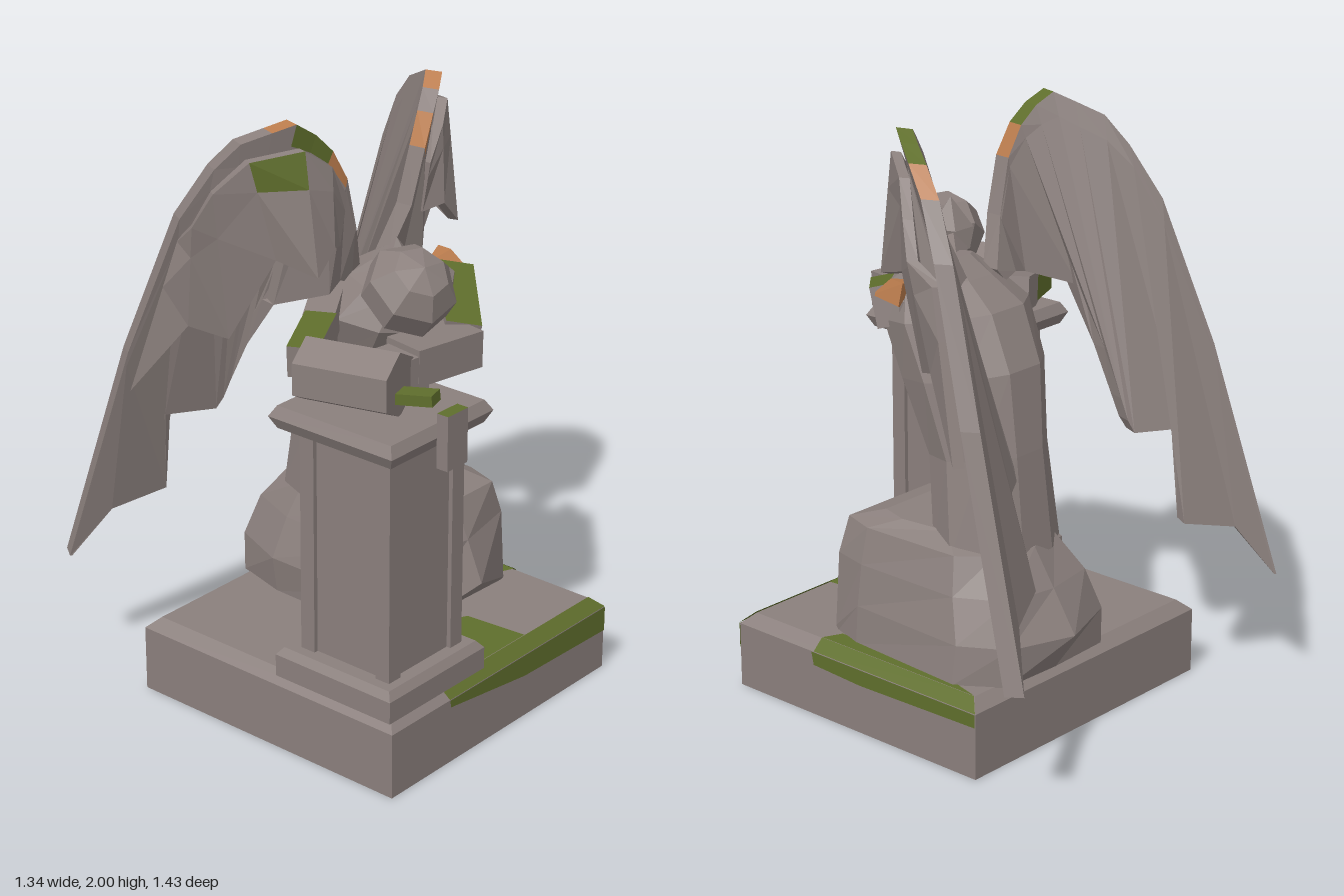
import * as THREE from 'three';
import { ConvexGeometry } from 'three/addons/geometries/ConvexGeometry.js';

const mat = (name, color) => {
  const m = new THREE.MeshStandardMaterial({ color, flatShading: true, side: THREE.DoubleSide });
  m.name = name;
  return m;
};
const stone = mat('stone', 0x8a7f7c);
const moss = mat('moss', 0x5f6e2c);
const rust = mat('rust', 0xb97b4c);

const mesh = (name, geo, material = stone) => {
  const m = new THREE.Mesh(geo, material);
  m.name = name;
  return m;
};
const geometryFrom = (tris) => {
  const g = new THREE.BufferGeometry();
  g.setAttribute('position', new THREE.Float32BufferAttribute(tris.flat(), 3));
  g.computeVertexNormals();
  return g;
};

// Flat fan of corners, listed counter-clockwise
const patch = (name, pts, material) => {
  const t = [];
  for (let i = 1; i < pts.length - 1; i++) t.push(pts[0], pts[i], pts[i + 1]);
  return mesh(name, geometryFrom(t), material);
};

// Capped skin over rings of equal length, listed from the bottom up
const loft = (rings) => {
  const t = [], n = rings[0].length, top = rings.length - 1;
  for (let i = 0; i < top; i++)
    for (let j = 0; j < n; j++) {
      const k = (j + 1) % n;
      const [a, b, c, d] = [rings[i][j], rings[i][k], rings[i + 1][k], rings[i + 1][j]];
      t.push(a, b, c, a, c, d);
    }
  for (let j = 1; j < n - 1; j++) {
    t.push(rings[top][0], rings[top][j], rings[top][j + 1]);
    t.push(rings[0][0], rings[0][j + 1], rings[0][j]);
  }
  return geometryFrom(t);
};
// Ring of [x, z] points at height y; a third number gives a point its own height
const level = (y, pts) => pts.map(([x, z, own = y]) => [x, own, z]);
const rect = (x0, x1, z0, z1, d, y) => level(y, [[x0 + d, z1 - d], [x1 - d, z1 - d], [x1 - d, z0 + d], [x0 + d, z0 + d]]);
// Oval ring whose front rises or drops by tilt
const oval = (x0, x1, z0, z1, y, tilt = 0, n = 10) => Array.from({ length: n }, (_, i) => {
  const a = (i + 0.5) / n * Math.PI * 2;
  return [(x0 + x1) / 2 + Math.sin(a) * (x1 - x0) / 2, y + Math.cos(a) * tilt, (z0 + z1) / 2 + Math.cos(a) * (z1 - z0) / 2];
});

// Beam from a to b with a many-sided section, rolled so its top faces along up
const limb = (name, a, b, w, h, sides, material = stone, up = [0, 1, 0]) => {
  const A = new THREE.Vector3(...a), B = new THREE.Vector3(...b);
  const g = sides === 4
    ? new THREE.BoxGeometry(w, h, A.distanceTo(B))
    : new THREE.CylinderGeometry(0.5, 0.5, A.distanceTo(B), sides).rotateX(Math.PI / 2).scale(w, h, 1);
  const m = mesh(name, g, material);
  m.position.copy(A).add(B).multiplyScalar(0.5);
  m.up.set(...up);
  m.lookAt(B);
  return m;
};

// Part of a sheet between two fractions of the way from outer to inner line
const band = (rows, f0, f1) => rows.map(([o, i]) => [f0, f1].map((f) => o.map((v, j) => v + (i[j] - v) * f)));

// Thick sheet between an outer and an inner line; rim and face give colours by row
const featherSheet = (name, rows, side, t0, t1, rim = {}, face = {}) => {
  const g = new THREE.Group();
  g.name = name;
  const buckets = new Map([[stone, []], [moss, []], [rust, []]]);
  const quad = (a, b, c, d, m = stone) => {
    const q = side > 0 ? [a, b, c, a, c, d] : [a, c, b, a, d, c];
    buckets.get(m).push(...q.map(([x, y, z]) => [x * side, y, z]));
  };
  const n = rows.length - 1;
  const S = rows.map(([o, i], k) => {
    const add = (p) => p.map((v, j) => v + t0[j] + (t1[j] - t0[j]) * k / n);
    return { o, i, of: add(o), inf: add(i) };
  });
  for (let k = 0; k < n; k++) {
    const a = S[k], b = S[k + 1];
    quad(a.inf, b.inf, b.of, a.of, face[k]);
    quad(a.o, b.o, b.i, a.i);
    quad(a.of, b.of, b.o, a.o, rim[k]);
    quad(a.i, b.i, b.inf, a.inf);
  }
  quad(S[0].i, S[0].inf, S[0].of, S[0].o);
  quad(S[n].inf, S[n].i, S[n].o, S[n].of);
  for (const [m, t] of buckets) if (t.length) g.add(mesh(name + ' ' + m.name, geometryFrom(t), m));
  return g;
};

// Outer and inner corners of the wing, from its root round the arch to its tip
const wingRows = [
  [[0.07, 1.46, 0.02], [0.1, 1.42, 0.01]],
  [[0.13, 1.62, 0.06], [0.15, 1.44, 0.01]],
  [[0.18, 1.8, 0.07], [0.22, 1.42, 0.03]],
  [[0.23, 1.9, 0.06], [0.32, 1.38, -0.11]],
  [[0.28, 1.96, 0.04], [0.29, 1.2, -0.25]],
  [[0.33, 2.0, 0.01], [0.28, 1.05, -0.33]],
  [[0.37, 1.97, -0.05], [0.28, 0.98, -0.36]],
  [[0.42, 1.93, -0.13], [0.29, 0.94, -0.38]],
  [[0.45, 1.84, -0.21], [0.43, 0.94, -0.47]],
  [[0.5, 1.67, -0.31], [0.37, 0.64, -0.53]],
  [[0.57, 1.2, -0.48], [0.54, 0.6, -0.61]],
  [[0.635, 0.43, -0.715], [0.63, 0.43, -0.71]]];
const covertRows = [
  [[0.2, 1.75, 0.1], [0.2, 1.58, 0.07]],
  [[0.26, 1.86, 0.1], [0.26, 1.6, 0.11]],
  [[0.33, 1.92, 0.06], [0.33, 1.52, 0.11]],
  [[0.43, 1.88, -0.07], [0.37, 1.56, -0.02]],
  [[0.5, 1.78, -0.15], [0.43, 1.28, -0.16]],
  [[0.535, 1.67, -0.2], [0.5, 1.32, -0.26]],
  [[0.51, 1.6, -0.28], [0.585, 1.08, -0.43]]];

export function createModel() {
  const model = new THREE.Group();
  model.name = 'winged mourner statue';
  const add = (...m) => model.add(...m);

  // Plinth with bevelled top
  const X0 = -0.595, X1 = 0.505;
  add(mesh('plinth', loft([[0, 0], [0, 0.225], [0.04, 0.262]].map(([d, y]) => rect(X0, X1, -0.4, 0.66, d, y)))));

  // Moss patches on the plinth
  add(
    patch('front moss', [[-0.31, 0.2, 0.663], [0.07, 0.15, 0.663], [X1, 0.138, 0.663], [X1, 0.225, 0.663], [-0.315, 0.225, 0.663]], moss),
    patch('front bevel moss', [[-0.315, 0.228, 0.662], [X1, 0.228, 0.662], [0.465, 0.265, 0.622], [-0.32, 0.265, 0.622]], moss),
    patch('side moss', [[0.508, 0.18, 0.31], [0.508, 0.17, 0.1], [0.508, 0.18, -0.4], [0.508, 0.225, -0.4], [0.508, 0.225, 0.32]], moss),
    patch('side bevel moss', [[0.507, 0.228, 0.31], [0.507, 0.228, -0.4], [0.467, 0.265, -0.36], [0.467, 0.265, 0.31]], moss),
    patch('top moss', [[-0.32, 0.265, 0.62], [0.12, 0.265, 0.62], [0.1, 0.265, 0.4], [-0.02, 0.265, 0.34], [-0.15, 0.265, 0.36]], moss),
    patch('top side moss', [[0.4, 0.265, 0.28], [0.465, 0.265, 0.31], [0.465, 0.265, -0.36], [0.42, 0.265, -0.2]], moss));

  // Pedestal: stepped foot and cap, core with four corner posts
  add(
    mesh('pedestalFoot', loft([[0, 0.26], [0, 0.335], [0.02, 0.36]].map(([d, y]) => rect(-0.595, -0.13, 0.18, 0.65, d, y)))),
    mesh('pedestalCore', loft([0.35, 1.13].map((y) => rect(-0.54, -0.185, 0.24, 0.6, 0.015, y)))),
    mesh('pedestalCap', loft([[0.02, 1.12], [0, 1.16], [0.02, 1.195]].map(([d, y]) => rect(-0.605, -0.122, 0.17, 0.66, d, y)))));
  for (const x of [-0.54, -0.24])
    for (const z of [0.24, 0.545])
      add(mesh('pedestalPost', loft([0.35, 1.13].map((y) => rect(x, x + 0.055, z, z + 0.055, 0, y)))));

  // Kneeling skirt
  add(mesh('skirt', loft([
    level(0.26, [[0.12, 0.31], [0.38, 0.32], [0.42, 0.2], [0.45, -0.25], [0.35, -0.39], [0.12, -0.4], [-0.12, -0.39], [-0.17, -0.2], [-0.18, 0.2], [-0.14, 0.32]]),
    level(0.39, [[0.12, 0.44], [0.38, 0.33, 0.275], [0.41, 0.2], [0.43, -0.25], [0.34, -0.4], [0.12, -0.48], [-0.11, -0.4], [-0.19, -0.2], [-0.19, 0.2], [-0.15, 0.33, 0.275]]),
    level(0.53, [[0.12, 0.38], [0.36, 0.33], [0.39, 0.2], [0.39, -0.2], [0.3, -0.36], [0.12, -0.39], [-0.07, -0.36], [-0.14, -0.18], [-0.15, 0.2], [-0.12, 0.33]]),
    level(0.65, [[0.12, 0.32], [0.32, 0.32], [0.36, 0.2], [0.35, -0.17], [0.27, -0.27], [0.12, -0.31], [-0.02, -0.27], [-0.09, -0.15], [-0.1, 0.2], [-0.08, 0.32]]),
    level(0.69, [[0.12, 0.2], [0.27, 0.2], [0.3, 0.1], [0.28, -0.08], [0.22, -0.14], [0.12, -0.16], [0.02, -0.14], [-0.04, -0.08], [-0.06, 0.1], [-0.04, 0.2]])])));

  // Leaning torso, shoulders and neck
  add(mesh('torso', loft([
    oval(-0.12, 0.33, -0.32, 0.05, 0.62),
    oval(-0.11, 0.29, -0.27, 0.1, 0.93, -0.02),
    oval(-0.18, 0.29, -0.22, 0.24, 1.17, -0.04),
    oval(-0.22, 0.27, -0.12, 0.34, 1.34, -0.04),
    oval(-0.15, 0.2, 0.0, 0.34, 1.44, -0.02),
    oval(-0.09, 0.1, 0.09, 0.28, 1.49, -0.02)])));
  add(limb('neck', [0.0, 1.4, 0.18], [-0.13, 1.47, 0.32], 0.17, 0.16, 7));

  // Bowed head with hair knot
  const head = mesh('head', new THREE.SphereGeometry(0.152, 7, 5));
  head.scale.set(1, 0.87, 1);
  head.rotation.set(0.6, 0.4, 0.2);
  head.position.set(-0.18, 1.495, 0.37);
  const knot = mesh('hairKnot', new THREE.ConeGeometry(0.075, 0.1, 5));
  knot.position.set(-0.145, 1.59, 0.29);
  add(head, knot);

  // Left arm folded across the pedestal
  const elbow = [[0.13, 1.44, 0.18], [0.245, 1.462, 0.14], [0.25, 1.4, 0.27], [0.265, 1.39, 0.14], [0.235, 1.465, 0.2], [0.2, 1.36, 0.19]];
  add(
    mesh('leftElbow', new ConvexGeometry(elbow.map((p) => new THREE.Vector3(...p))), rust),
    limb('leftUpperArm', [0.1, 1.37, 0.1], [0.2, 1.36, 0.2], 0.13, 0.14, 6),
    limb('leftForearm', [0.22, 1.37, 0.215], [-0.03, 1.3, 0.45], 0.115, 0.135, 4, [stone, stone, moss, stone, stone, stone], [0.12, 1, 0.15]),
    limb('leftHand', [-0.02, 1.3, 0.47], [-0.28, 1.305, 0.43], 0.15, 0.12, 4));

  // Right arm bent around the top of the pedestal
  add(
    limb('rightShoulder', [-0.15, 1.37, 0.02], [-0.3, 1.335, 0.11], 0.1, 0.1, 4),
    limb('rightUpperArm', [-0.29, 1.338, 0.11], [-0.5, 1.315, 0.22], 0.1, 0.105, 4, [stone, moss, moss, stone, stone, stone]),
    limb('rightForearm', [-0.485, 1.295, 0.22], [-0.4, 1.295, 0.52], 0.23, 0.21, 6),
    limb('rightWrist', [-0.38, 1.28, 0.42], [-0.24, 1.28, 0.44], 0.14, 0.13, 4),
    limb('rightFinger', [-0.41, 1.26, 0.5], [-0.37, 1.275, 0.635], 0.065, 0.035, 4, moss));

  // Small hanging block before the pedestal
  const block = mesh('hangingBlock', new THREE.BoxGeometry(0.095, 0.18, 0.042), [stone, stone, moss, stone, stone, stone]);
  block.position.set(-0.363, 1.16, 0.693);
  add(block);

  // Wings: painted arch along the leading edge, long feathers, two covert bands
  const rims = { 1: { 2: rust, 4: rust, 5: moss, 6: moss, 7: rust }, '-1': { 2: rust, 3: moss, 4: moss, 5: rust } };
  const faces = { 1: { 2: rust, 4: rust }, '-1': { 2: rust, 3: moss, 4: moss } };
  for (const side of [1, -1]) {
    const wing = new THREE.Group();
    wing.name = side > 0 ? 'leftWing' : 'rightWing';
    const back = [0, 0, 0.06], tip = [0.035, 0, 0.05];
    wing.add(
      featherSheet('wingArch', band(wingRows, 0, 0.08), side, back, tip, rims[side], faces[side]),
      featherSheet('longFeathers', band(wingRows, 0.08, 1), side, back, tip),
      featherSheet('upperCoverts', band(covertRows, 0, 0.3), side, [0, 0, 0.04], [0.03, 0, 0.02], {}, side < 0 ? { 2: moss } : {}),
      featherSheet('lowerCoverts', band(covertRows, 0.3, 1), side, [0, 0, 0.04], [0.03, 0, 0.02]));
    add(wing);
  }

  return model;
}
